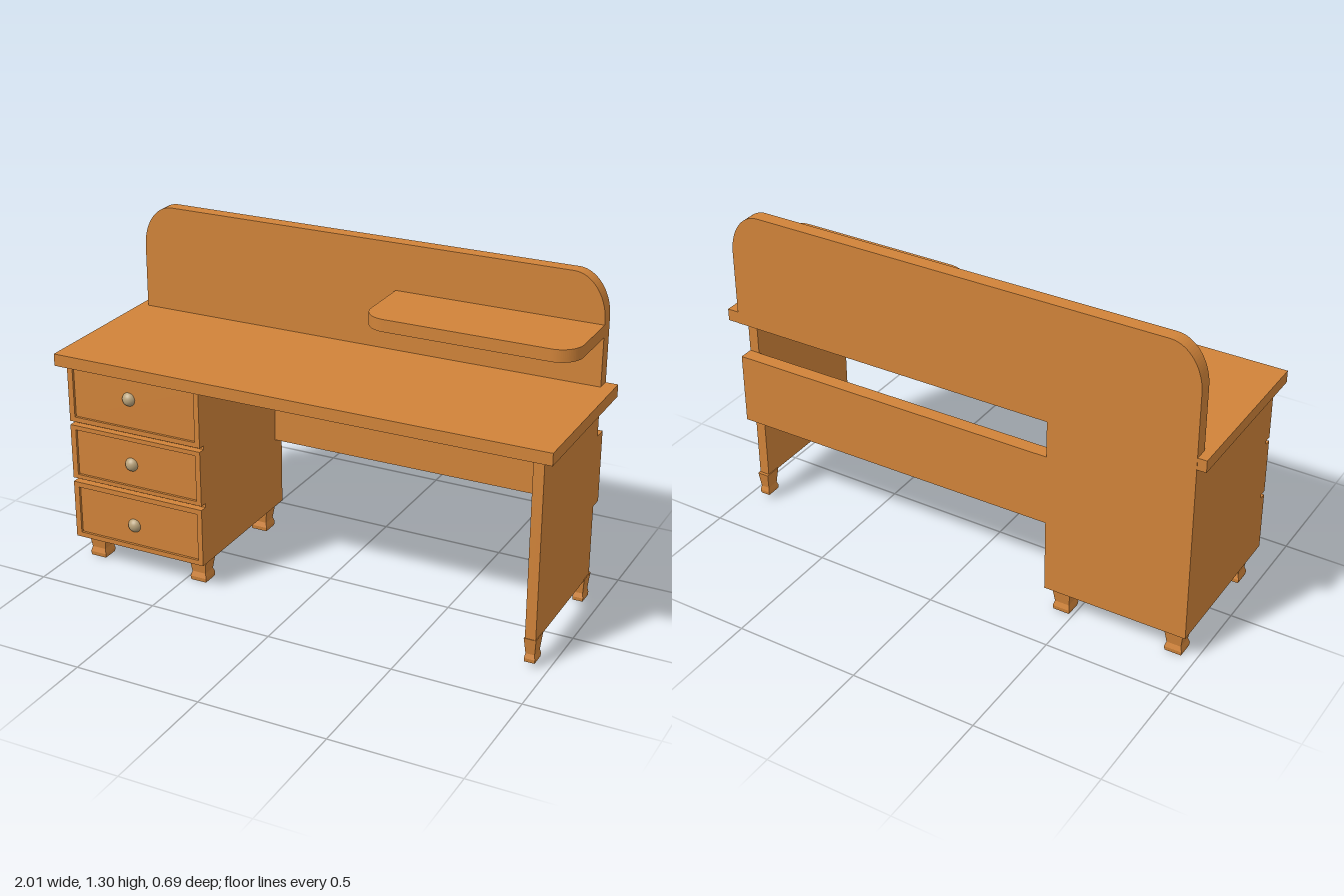
import * as THREE from 'three';

const wood = new THREE.MeshStandardMaterial({ color: 0xd08339 });
wood.name = 'warm wood';
const brass = new THREE.MeshStandardMaterial({ color: 0xb8a27a });
brass.name = 'pale brass';

export function createModel() {
  const model = new THREE.Group();
  model.name = 'writingDesk';
  const desk = new THREE.Group();
  desk.name = 'desk';
  desk.rotation.y = 0.009; // stands very slightly turned
  model.add(desk);

  const add = (name, geometry, material = wood, parent = desk) => {
    const mesh = new THREE.Mesh(geometry, material);
    mesh.name = name;
    parent.add(mesh);
    return mesh;
  };
  // Box from its minimum and maximum corners
  const block = (name, x0, x1, y0, y1, z0, z1, parent = desk) => {
    const mesh = add(name, new THREE.BoxGeometry(x1 - x0, y1 - y0, z1 - z0), wood, parent);
    mesh.position.set((x0 + x1) / 2, (y0 + y1) / 2, (z0 + z1) / 2);
    return mesh;
  };
  const extrude = (shape, depth) =>
    new THREE.ExtrudeGeometry(shape, { depth, bevelEnabled: false, curveSegments: 10 });
  const rectPoints = (x0, x1, y0, y1) =>
    [[x0, y0], [x1, y0], [x1, y1], [x0, y1]].map(([x, y]) => new THREE.Vector2(x, y));

  // Desktop
  block('desktop', -1, 1, 0.832, 0.88, -0.334, 0.336);

  // One-piece back: rounded upper board, cabinet back and stretcher
  const back = new THREE.Shape();
  back.moveTo(-0.965, 0.106);
  back.lineTo(-0.39, 0.106);
  back.lineTo(-0.39, 0.4);
  back.lineTo(0.952, 0.4);
  back.lineTo(0.952, 0.686);
  back.lineTo(-0.39, 0.686);
  back.lineTo(-0.39, 0.833);
  back.lineTo(0.952, 0.833);
  back.lineTo(0.952, 1.135);
  back.absellipse(0.827, 1.135, 0.125, 0.17, 0, Math.PI / 2, false);
  back.lineTo(-0.84, 1.305);
  back.absellipse(-0.84, 1.135, 0.125, 0.17, Math.PI / 2, Math.PI, false);
  back.closePath();
  add('backPanel', extrude(back, 0.055)).position.z = -0.336;

  // Shelf with rounded front corners
  const r = 0.09;
  const shelf = new THREE.Shape();
  shelf.moveTo(0.132, 0.281);
  shelf.lineTo(0.132, -0.022 + r);
  shelf.absarc(0.132 + r, -0.022 + r, r, Math.PI, Math.PI * 1.5, false);
  shelf.lineTo(0.952 - r, -0.022);
  shelf.absarc(0.952 - r, -0.022 + r, r, Math.PI * 1.5, Math.PI * 2, false);
  shelf.lineTo(0.952, 0.281);
  shelf.closePath();
  const shelfMesh = add('shelf', extrude(shelf, 0.048));
  shelfMesh.rotation.x = -Math.PI / 2;
  shelfMesh.position.y = 1.071;

  // Drawer cabinet and the side panel opposite
  block('cabinetBody', -0.965, -0.39, 0.106, 0.833, -0.281, 0.277);
  block('sidePanel', 0.911, 0.952, 0.114, 0.833, -0.281, 0.279);

  // Drawer fronts: frame, sunken panel and knob
  const drawers = [
    [0.6, 0.833, 0.62, 0.82, 0.735],
    [0.36, 0.584, 0.377, 0.566, 0.465],
    [0.106, 0.343, 0.126, 0.322, 0.205],
  ];
  for (const [y0, y1, innerY0, innerY1, knobY] of drawers) {
    const drawer = new THREE.Group();
    drawer.name = 'drawer';
    desk.add(drawer);
    const frame = new THREE.Shape(rectPoints(-0.965, -0.39, y0, y1));
    frame.holes.push(new THREE.Path(rectPoints(-0.942, -0.411, innerY0, innerY1).reverse()));
    add('drawerFrame', extrude(frame, 0.03), wood, drawer).position.z = 0.276;
    block('drawerPanel', -0.943, -0.41, innerY0 - 0.001, innerY1 + 0.001, 0.276, 0.296, drawer);
    const knob = add('drawerKnob', new THREE.SphereGeometry(0.029, 24, 16), brass, drawer);
    knob.position.set(-0.7, knobY, 0.287);
  }

  // Square tapered leg with a flared foot
  const legProfile = [[0, 0], [0.033, 0], [0.035, 0.016], [0.029, 0.036], [0.039, 0.108], [0, 0.108]]
    .map(([half, y]) => new THREE.Vector2(half * Math.SQRT2, y));
  const legGeometry = new THREE.LatheGeometry(legProfile, 4).rotateY(Math.PI / 4).toNonIndexed();
  legGeometry.computeVertexNormals();
  for (const x of [-0.908, -0.448]) {
    for (const z of [0.214, -0.275]) add('cabinetLeg', legGeometry).position.set(x, 0, z);
  }
  for (const z of [0.246, -0.258]) {
    const leg = add('sidePanelLeg', legGeometry);
    leg.scale.set(0.6, 0.9, 0.9);
    leg.position.set(0.931, 0.022, z);
  }

  return model;
}
